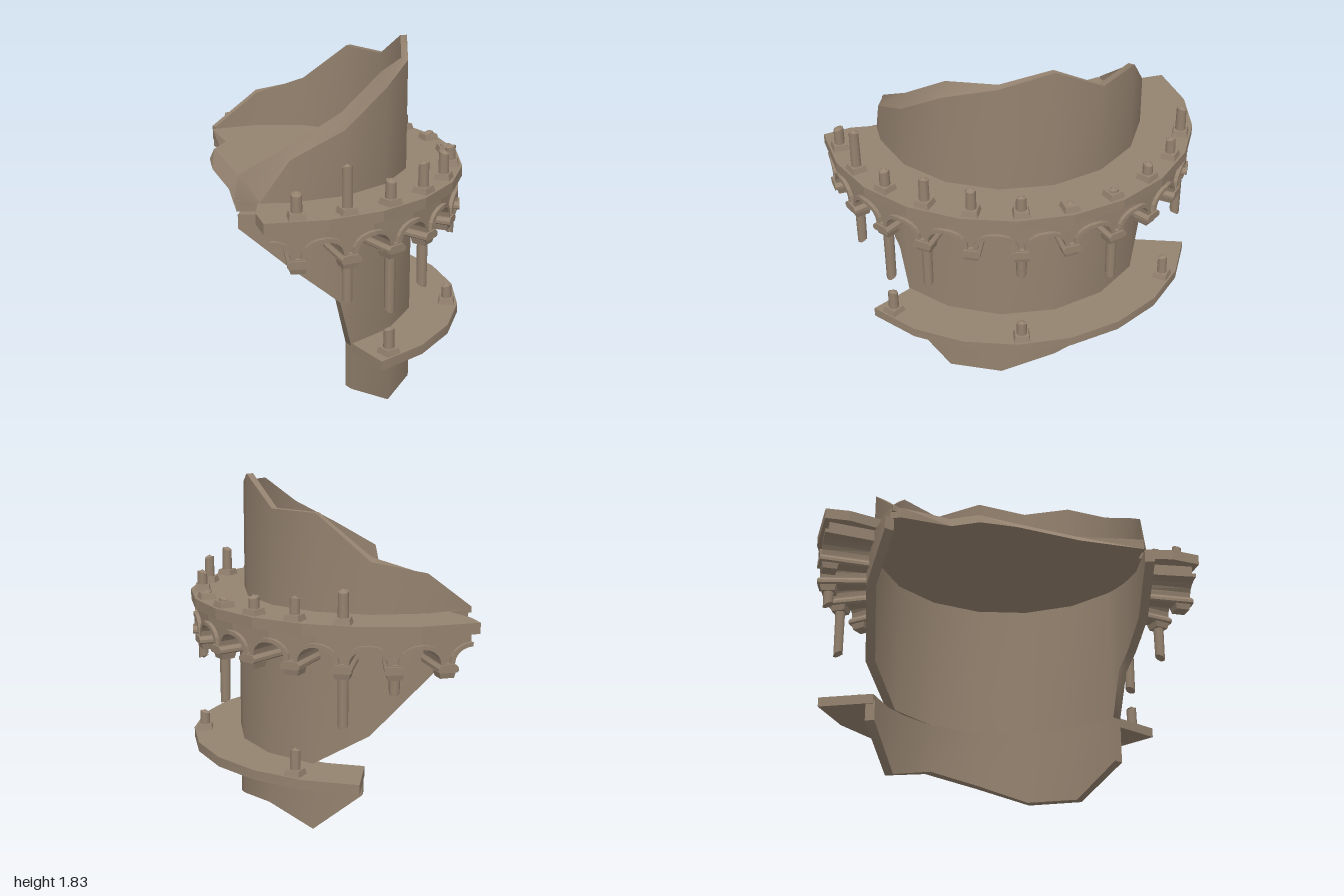
import * as THREE from 'three';
import { mergeGeometries } from 'three/addons/utils/BufferGeometryUtils.js';

const CX = -0.35; // axis of the round tower
const rad = THREE.MathUtils.degToRad;
const P = (r, deg, y) => [CX + r * Math.cos(rad(deg)), y, r * Math.sin(rad(deg))];

// surface between two rows of points
function strip(a, b) {
  const g = new THREE.BufferGeometry();
  const index = [];
  const n = a.length;
  for (let i = 0; i < n - 1; i++) index.push(i, n + i, i + 1, n + i, n + i + 1, i + 1);
  g.setAttribute('position', new THREE.Float32BufferAttribute([...a, ...b].flat(), 3));
  g.setIndex(index);
  g.computeVertexNormals();
  return g;
}

// curved wall; rows are [degrees, outer top, inner top, bottom, inner degrees]
function curvedWall(rows, ro, ri) {
  const ot = rows.map(([d, t]) => P(ro, d, t));
  const it = rows.map(([d, , t, , e = d]) => P(ri, e, t));
  const ob = rows.map(([d, , , b]) => P(ro, d, b));
  const ib = rows.map(([d, , , b, e = d]) => P(ri, e, b));
  const z = rows.length - 1;
  return mergeGeometries([
    strip(ob, ot), strip(it, ib), strip(ot, it), strip(ib, ob),
    strip([ob[0], ot[0]], [ib[0], it[0]]),
    strip([ib[z], it[z]], [ob[z], ot[z]]),
  ]);
}

function flat(g) {
  const f = g.index ? g.toNonIndexed() : g;
  f.computeVertexNormals();
  return f;
}

// closed shape from points, extruded along z
function slab(points, depth) {
  const shape = new THREE.Shape(points.map(([x, y]) => new THREE.Vector2(x, y)));
  return new THREE.ExtrudeGeometry(shape, { depth, bevelEnabled: false });
}

export function createModel() {
  const model = new THREE.Group();
  const stone = new THREE.MeshStandardMaterial({ color: 0x94826f, side: THREE.DoubleSide });
  stone.name = 'weathered stone';
  const add = (name, geometry, parent = model) => {
    const m = new THREE.Mesh(geometry, stone);
    m.name = name;
    parent.add(m);
    return m;
  };

  // broken walls, top to bottom
  add('upperWall', curvedWall([
    [-111, 1.2, 1.2, 1.17], [-90, 1.39, 1.38, 1.17], [-67.5, 1.45, 1.47, 1.17],
    [-45, 1.68, 1.68, 1.17], [-22.5, 1.68, 1.68, 1.17], [0, 1.83, 1.83, 1.17],
    [22.5, 1.76, 1.77, 1.17], [45, 1.68, 1.755, 1.17], [67.5, 1.52, 1.6, 1.17],
    [90, 1.4, 1.46, 1.17], [101, 1.2, 1.32, 1.17, 110], [102, 1.18, 1.2, 1.17, 112],
  ], 0.72, 0.685));

  add('middleWall', curvedWall([
    [-109.5, 1.14, 1.14, 1.07], [-90, 1.14, 1.14, 0.87], [-67.5, 1.14, 1.14, 0.58],
    [-45, 1.14, 1.14, 0.41], [-22.5, 1.14, 1.14, 0.4], [0, 1.14, 1.14, 0.4],
    [22.5, 1.14, 1.14, 0.4], [45, 1.14, 1.14, 0.4], [66, 1.14, 1.14, 0.4],
    [71, 1.14, 1.14, 0.65], [78, 1.14, 1.14, 0.73], [90, 1.14, 1.14, 0.86],
    [109.5, 1.14, 1.14, 1.07],
  ], 0.75, 0.7));

  add('lowerWall', curvedWall([
    [-65, 0.38, 0.38, 0.27], [-45, 0.4, 0.4, 0.06], [-22.5, 0.4, 0.4, 0.14],
    [0, 0.4, 0.4, 0.1], [22.5, 0.4, 0.4, 0.01], [45, 0.4, 0.4, 0],
    [66, 0.4, 0.4, 0.16],
  ], 0.75, 0.7));

  // lower walkway
  const step = 360 / 22;
  const walk = [];
  for (let k = -4; k <= 4; k++) walk.push([k * step, 0.41, 0.41, 0.36]);
  add('lowerWalkway', curvedWall(walk, 1, 0.71));

  // upper floor with a ragged edge on the open side
  const outline = [];
  for (let k = -6; k <= 6; k++) {
    const [x, , z] = P(1.003, k * step, 0);
    outline.push([x, -z]);
  }
  outline[0] = [-0.51, 0.993];
  outline[12] = [-0.51, -0.993];
  for (const [x, z] of [
    [-0.53, 0.84], [-0.495, 0.66], [-0.6, 0.65], [-0.545, 0.3], [-0.6, -0.05],
    [-0.635, -0.24], [-0.56, -0.37], [-0.61, -0.63], [-0.585, -0.68],
    [-0.47, -0.71], [-0.515, -0.87],
  ]) outline.push([x, -z]);
  const floor = slab(outline, 0.055).rotateX(-Math.PI / 2).translate(0, 1.135, 0);
  const fp = floor.attributes.position;
  for (let i = 0; i < fp.count; i++) {
    const x = fp.getX(i), z = fp.getZ(i);
    if (fp.getY(i) < 1.16 && x < -0.5 && Math.abs(z) < 0.6) {
      fp.setX(i, x - (z > -0.1 ? 0.06 : 0.025)); // underside sticks out further
    }
  }
  add('upperFloor', flat(floor));

  // arcade: each piece is one corbel with half an arch on both sides
  const R = 0.985;
  const h = R * Math.tan(rad(7.5));
  const arch = (rise, inset) => {
    const pts = [];
    for (let i = 0; i <= 5; i++) {
      const a = (i / 5) * Math.PI / 2;
      pts.push([h - (h - inset) * Math.cos(a), 1.0 + rise * Math.sin(a)]);
    }
    return pts;
  };
  const mirror = (half) => [...half, ...half.map(([x, y]) => [-x, y]).reverse()];
  const radial = (points, r0, r1) => {
    const g = slab(points, r1 - r0).translate(0, 0, r0);
    const p = g.attributes.position;
    for (let i = 0; i < p.count; i++) p.setX(i, p.getX(i) * p.getZ(i) / R);
    return flat(g);
  };
  const vault = radial(mirror([[0.036, 0.98], ...arch(0.075, 0.036), [h, 1.137]]), 0.7, 0.965);
  const molding = radial(mirror([[0.036, 0.98], ...arch(0.075, 0.036),
    ...arch(0.095, 0.012).reverse()]), 0.96, 0.985);
  const corbel = radial(mirror([[0.042, 0.955], [0.052, 0.963], [0.052, 0.978], [0.036, 0.995]]), 0.7, 0.995);

  // stubs of balusters and pendants, with slanted broken tips
  const foot = flat(new THREE.CylinderGeometry(0.05, 0.06, 0.03, 4).rotateY(Math.PI / 4));
  function stub(name, deg, y0, y1, lean) {
    const g = new THREE.Group();
    g.name = name;
    const len = Math.abs(y1 - y0);
    add('foot', foot, g).position.y = 0.015;
    const rodLen = Math.max(len - 0.015, 0.03);
    const rod = new THREE.CylinderGeometry(0.026, 0.028, rodLen, 8).translate(0, rodLen / 2, 0);
    const p = rod.attributes.position;
    for (let i = 0; i < p.count; i++) {
      if (p.getY(i) > rodLen / 2) p.setY(i, rodLen + lean * p.getX(i));
    }
    add('rod', rod, g);
    const tip = new THREE.ConeGeometry(0.026, 0.018, 8).translate(0, rodLen + 0.006, 0);
    add('brokenTip', flat(tip), g);
    g.position.set(...P(0.94, deg, y0));
    g.rotation.y = -rad(deg);
    if (y1 < y0) g.rotation.set(Math.PI, rad(deg), 0);
    model.add(g);
  }

  for (let deg = -90; deg <= 90; deg += 15) {
    const bay = new THREE.Group();
    bay.name = 'archBay';
    add('vault', vault, bay);
    add('archMolding', molding, bay);
    add('corbel', corbel, bay);
    bay.position.x = CX;
    bay.rotation.y = Math.PI / 2 - rad(deg);
    model.add(bay);
    add('corbelFoot', foot, bay).position.set(0, 0.94, 0.94);
    bay.children[3].rotation.x = Math.PI;
  }

  const tops = [1.36, 1.31, 1.29, 1.24, 1.235, 1.3, 1.34, 1.35, 1.32, 1.43, 1.32];
  tops.forEach((y, i) => stub('baluster', -60 + i * 15, 1.19, y, i % 2 ? 0.3 : -0.3));
  for (const [deg, y] of [[75, 0.74], [60, 0.63], [45, 0.69], [15, 0.81],
    [-15, 0.69], [-60, 0.67], [-75, 0.84]]) stub('pendant', deg, 0.955, y, 0.5);
  for (const [deg, y] of [[60, 0.55], [15, 0.52], [-45, 0.55]]) {
    stub('lowerBaluster', deg, 0.41, y, 0.3);
  }
  return model;
}
